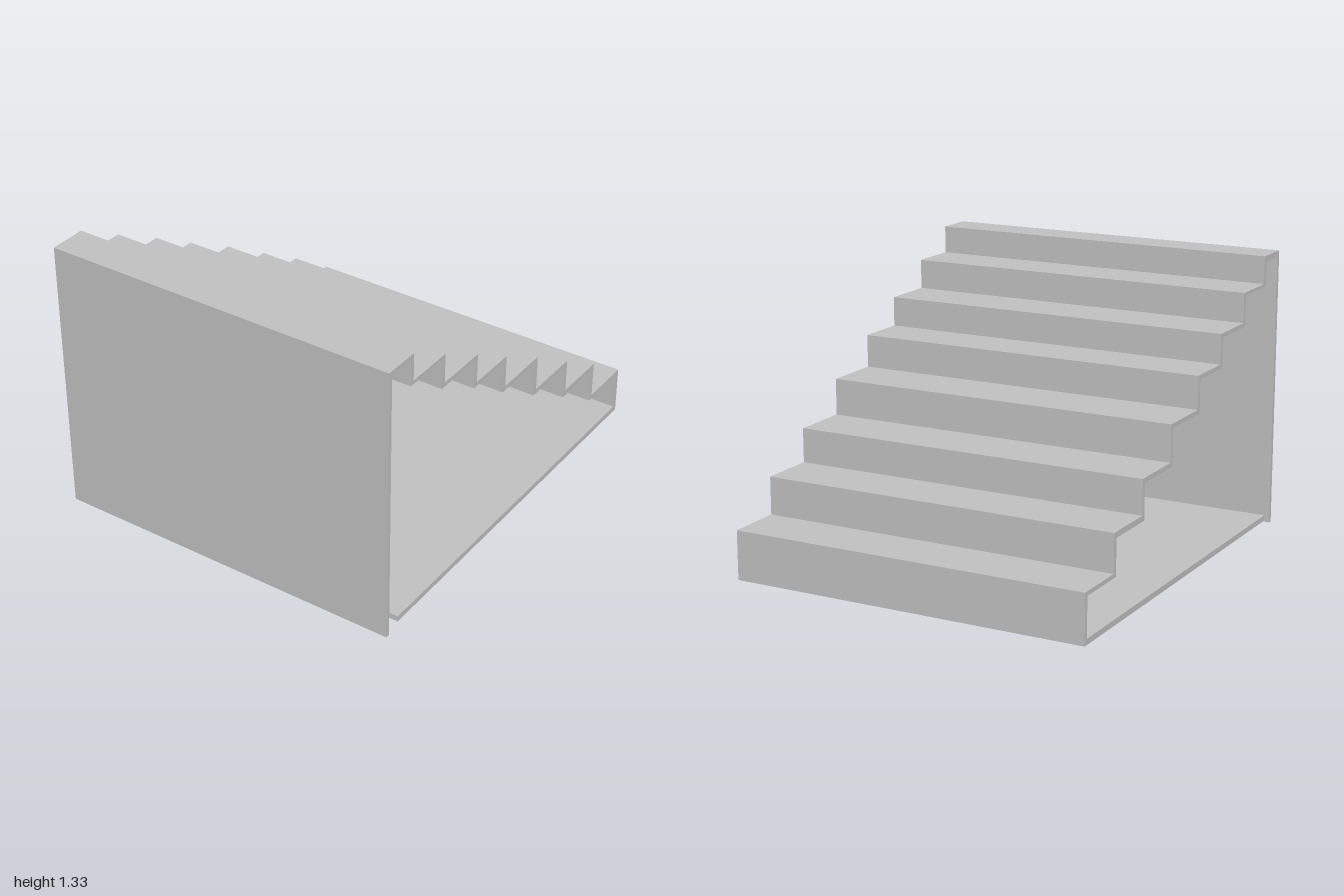
import * as THREE from 'three';

const WIDTH = 1.71;
const T = 0.021; // sheet thickness
const BASE_TOP = 0.054, BASE_BOTTOM = 0.027, BASE_END = 0.914;

// Each step from the top down: [z of riser face, y of tread top, y of tread underside]
const STEPS = [
  [0.823, 1.33, 1.303],
  [0.587, 1.2, 1.184],
  [0.33, 1.06, 1.04],
  [0.088, 0.92, 0.9],
  [-0.19, 0.766, 0.745],
  [-0.469, 0.595, 0.573],
  [-0.737, 0.434, 0.407],
  [-1, 0.257, 0.238],
];

export function createModel() {
  const group = new THREE.Group();
  group.name = 'staircase';
  const grey = new THREE.MeshStandardMaterial({ color: 0xc0c0c0 });
  grey.name = 'grey';

  // Outer face: up the tall wall, down the steps, then under the base
  const outer = [[1, 0], [1, STEPS[0][1]]];
  STEPS.forEach(([z, top], i) => {
    const next = STEPS[i + 1];
    outer.push([z, top], [z, next ? next[1] : BASE_BOTTOM]);
  });
  outer.push([BASE_END, BASE_BOTTOM]);

  // Inner face: same path, one sheet thickness inside
  const inner = [[1 - T, 0], [1 - T, STEPS[0][2]]];
  STEPS.forEach(([z, , under], i) => {
    const next = STEPS[i + 1];
    inner.push([z + T, under], [z + T, next ? next[2] : BASE_TOP]);
  });
  inner.push([BASE_END, BASE_TOP]);

  // Side profile (shape x is model z), swept across the full width
  const points = [...outer, ...inner.reverse()].map(([z, y]) => new THREE.Vector2(z, y));
  const geometry = new THREE.ExtrudeGeometry(new THREE.Shape(points), {
    depth: WIDTH, bevelEnabled: false,
  });
  geometry.rotateY(-Math.PI / 2);
  geometry.translate(WIDTH / 2, 0, 0);

  const sheet = new THREE.Mesh(geometry, grey);
  sheet.name = 'foldedStairSheet';
  group.add(sheet);
  return group;
}
